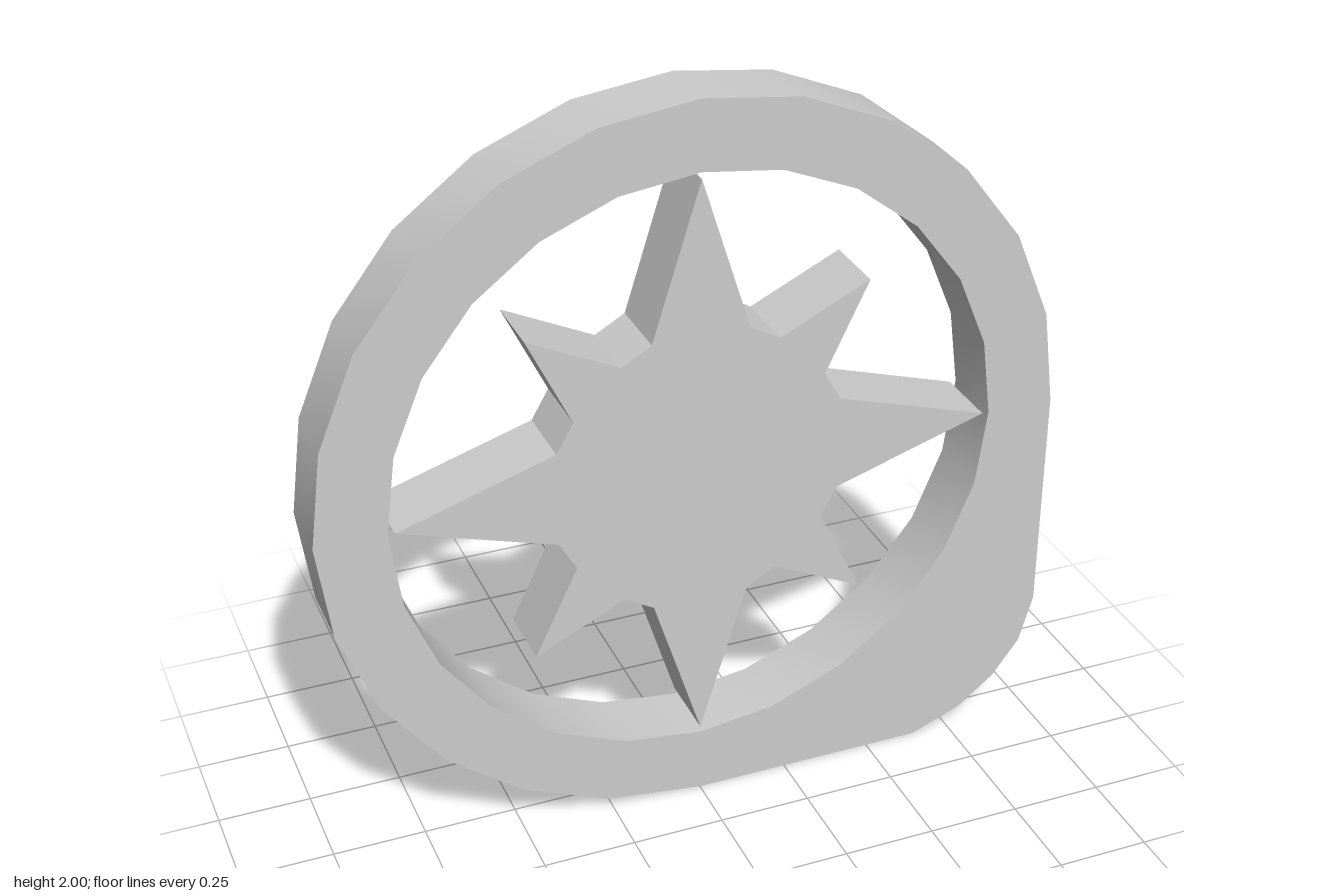
import * as THREE from 'three';
import { toCreasedNormals } from 'three/addons/utils/BufferGeometryUtils.js';

const DEPTH = 0.187;

export function createModel() {
  const group = new THREE.Group();
  const grey = new THREE.MeshStandardMaterial({ color: 0xcccccc });
  grey.name = 'light grey';

  // Points on a circle in 15 degree steps
  const arc = (radius, from, to) => {
    const points = [];
    for (let i = from; i <= to; i++) {
      const a = (i * Math.PI) / 12;
      points.push(new THREE.Vector2(radius * Math.cos(a), radius * Math.sin(a)));
    }
    return points;
  };

  // Extrude a flat outline, centred in depth, smoothing only shallow bends
  const addPlate = (name, shape) => {
    const extruded = new THREE.ExtrudeGeometry(shape, { depth: DEPTH, bevelEnabled: false });
    extruded.translate(0, 1, -DEPTH / 2);
    const mesh = new THREE.Mesh(toCreasedNormals(extruded, Math.PI / 5), grey);
    mesh.name = name;
    group.add(mesh);
  };

  // Ring: three quarters round, with a rounded square lower corner
  const corner = [[0.645, -1], [0.786, -0.944], [0.888, -0.864], [0.963, -0.762], [1, -0.63]];
  const ring = new THREE.Shape([
    ...arc(1, 0, 18),
    ...corner.map(([x, y]) => new THREE.Vector2(x, y)),
  ]);
  ring.holes.push(new THREE.Path(arc(0.815, 0, 23).reverse()));
  addPlate('ring', ring);

  // Star: long main points, short diagonal points and chamfered valleys
  const quarter = [
    [0.797, 0], [0.382, 0.13], [0.336, 0.21],
    [0.453, 0.453], [0.21, 0.336], [0.13, 0.382],
  ];
  const starPoints = [];
  for (let q = 0; q < 4; q++) {
    for (const [x, y] of quarter) {
      starPoints.push(new THREE.Vector2(x, y).rotateAround(new THREE.Vector2(), (q * Math.PI) / 2));
    }
  }
  addPlate('star', new THREE.Shape(starPoints));

  return group;
}
